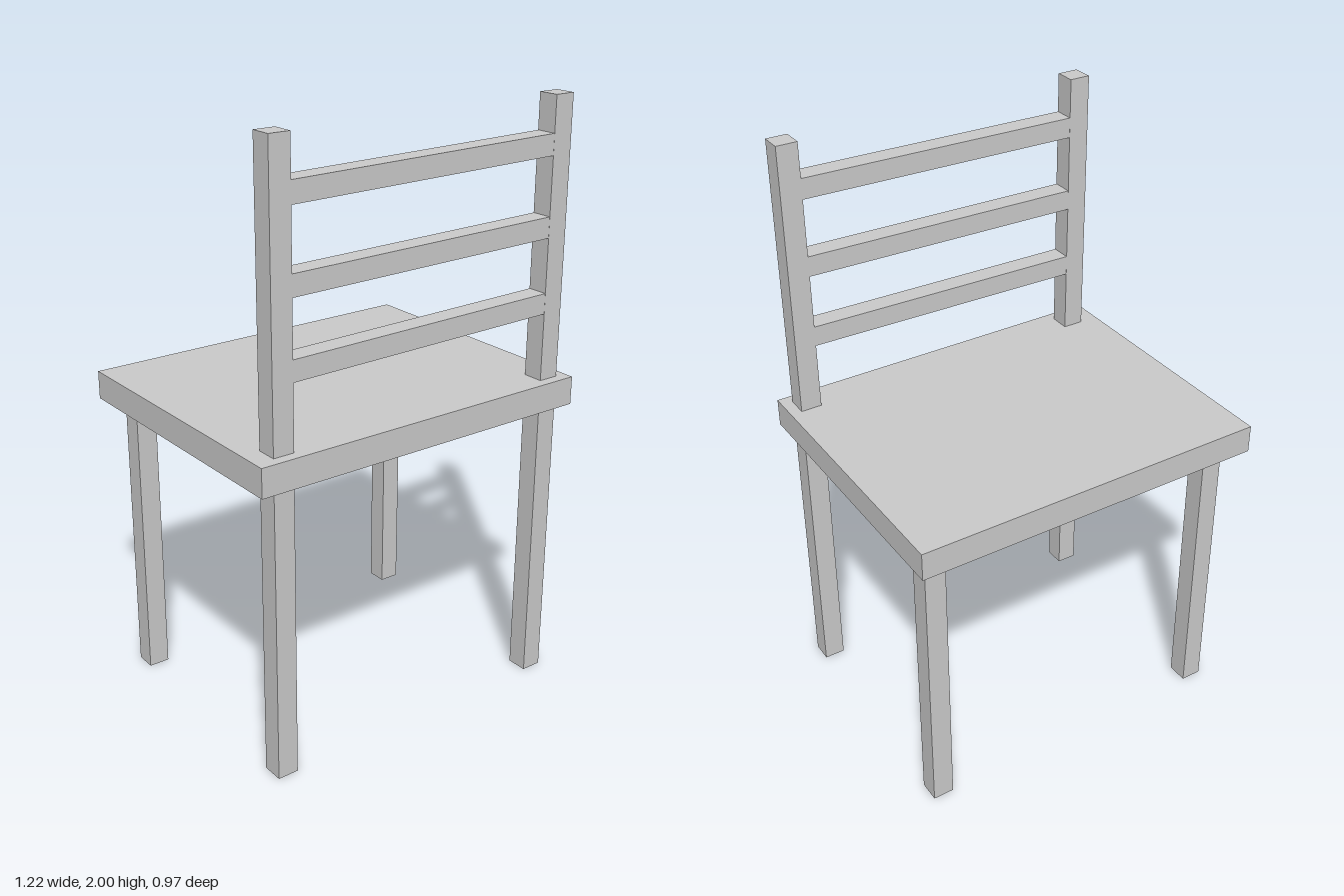
import * as THREE from 'three';

export function createModel() {
  const model = new THREE.Group();
  model.name = 'chair';
  const material = new THREE.MeshStandardMaterial({ color: 0xcccccc, flatShading: true });

  // Box given by its size and centre
  const addBox = (name, size, centre) => {
    const mesh = new THREE.Mesh(new THREE.BoxGeometry(...size), material);
    mesh.name = name;
    mesh.position.set(...centre);
    model.add(mesh);
    return mesh;
  };

  // Seat slab
  const seatBottom = 0.99, seatTop = 1.085;
  addBox('seat', [1.215, seatTop - seatBottom, 0.965], [0, (seatBottom + seatTop) / 2, 0]);

  // Legs: the pair at the backrest runs up through the seat as posts
  const thickness = 0.071, backZ = 0.412, frontZ = -0.388;
  for (const [side, x] of [['right', -0.508], ['left', 0.534]]) {
    addBox(side + 'BackPost', [thickness, 2, thickness], [x, 1, backZ]);
    addBox(side + 'FrontLeg', [thickness, seatBottom, thickness], [x, seatBottom / 2, frontZ]);
  }

  // Backrest slats, each slightly tilted and let into the posts
  [1.338, 1.585, 1.843].forEach((y, i) => {
    const slat = addBox('backSlat' + (i + 1), [1.0, 0.068, 0.07], [0.013, y, backZ]);
    slat.rotation.z = 0.0135;
  });

  // Whole chair stands slightly turned
  model.rotation.y = 0.0066;
  return model;
}
